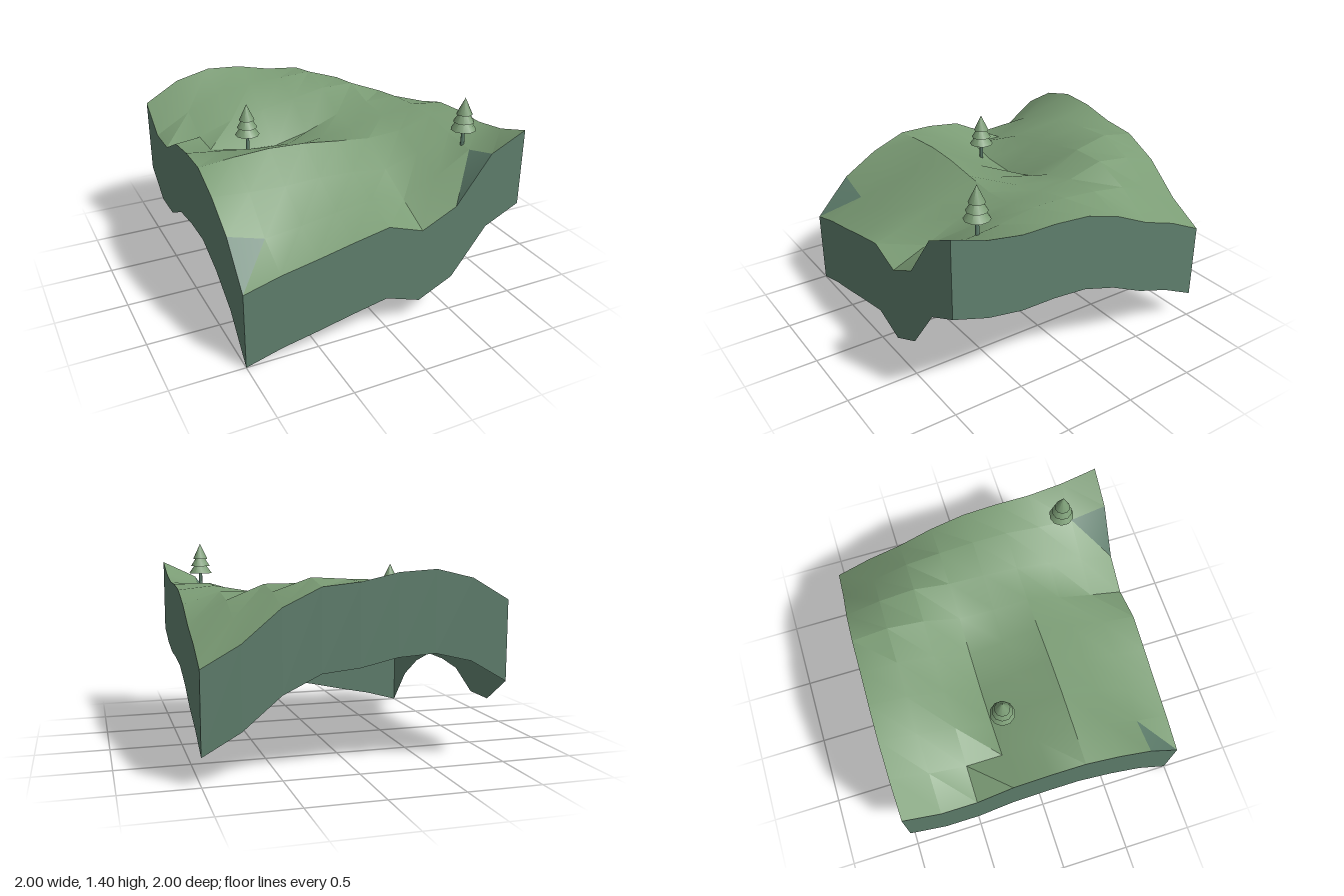
import * as THREE from 'three';
import { toCreasedNormals } from 'three/addons/utils/BufferGeometryUtils.js';

// Ground heights: rows run from back (z = -1) to front (z = 1), columns from x = -1 to x = 1
const HEIGHTS = [
  [1.085, 1.23, 1.29, 1.275, 1.22, 1.195, 1.075, 0.865, 0.725],
  [0.915, 1.06, 1.16, 1.21, 1.22, 1.235, 1.15, 0.99, 0.84],
  [0.915, 0.95, 1.04, 1.08, 1.13, 1.18, 1.18, 1.08, 0.92],
  [1.04, 0.95, 0.90, 0.89, 0.95, 1.05, 1.11, 1.115, 1.035],
  [1.07, 1.04, 1.01, 1.00, 1.00, 1.03, 1.09, 1.135, 1.11],
  [1.07, 1.095, 1.11, 1.10, 1.07, 1.045, 1.06, 1.135, 1.13],
  [0.97, 0.95, 0.94, 0.95, 0.94, 0.91, 0.99, 1.09, 1.13],
  [0.815, 0.74, 0.77, 0.81, 0.84, 0.79, 0.91, 1.06, 1.17],
  [0.54, 0.61, 0.66, 0.715, 0.765, 0.68, 0.80, 1.13, 1.25],
];
const CELLS = 8;
const STEP = 2 / CELLS;
const SKIRT = 0.535;

const point = (col, row, drop = 0) => [-1 + col * STEP, HEIGHTS[row][col] - drop, -1 + row * STEP];

function fromTriangles(coords) {
  const geometry = new THREE.BufferGeometry();
  geometry.setAttribute('position', new THREE.Float32BufferAttribute(coords, 3));
  return geometry;
}

// Rolling ground; the two steepest front facets are bare rock
function makeGround(grass, rock) {
  const green = [];
  const bare = [];
  for (let r = 0; r < CELLS; r++) {
    for (let c = 0; c < CELLS; c++) {
      const a = point(c, r), b = point(c, r + 1), e = point(c + 1, r + 1), d = point(c + 1, r);
      const front = r === CELLS - 1;
      (front && c === 0 ? bare : green).push(...a, ...b, ...d);
      (front && c === 6 ? bare : green).push(...b, ...e, ...d);
    }
  }
  const geometry = toCreasedNormals(fromTriangles([...green, ...bare]), 0.5);
  geometry.clearGroups();
  geometry.addGroup(0, green.length / 3, 0);
  geometry.addGroup(green.length / 3, bare.length / 3, 1);
  const mesh = new THREE.Mesh(geometry, [grass, rock]);
  mesh.name = 'ground';
  return mesh;
}

// One side of the skirt; cell(i) gives the grid corner, in order from left to right seen from outside
function makeWall(name, cell, material) {
  const coords = [];
  for (let i = 0; i < CELLS; i++) {
    const p = cell(i), q = cell(i + 1);
    const topA = point(...p), topB = point(...q);
    const lowA = point(...p, SKIRT), lowB = point(...q, SKIRT);
    coords.push(...topA, ...lowA, ...topB, ...lowA, ...lowB, ...topB);
  }
  const geometry = fromTriangles(coords);
  geometry.computeVertexNormals();
  const mesh = new THREE.Mesh(geometry, material);
  mesh.name = name;
  return mesh;
}

// Conifer: thin trunk with three stacked cones
function makeTree(name, x, coneBase, z, foliage, bark) {
  const tree = new THREE.Group();
  tree.name = name;
  const trunk = new THREE.Mesh(new THREE.CylinderGeometry(0.012, 0.014, 0.17, 8), bark);
  trunk.position.y = -0.055;
  trunk.name = 'trunk';
  tree.add(trunk);
  const tiers = [[0.088, 0, 0.12], [0.072, 0.055, 0.115], [0.055, 0.11, 0.115]];
  tiers.forEach(([radius, base, height], i) => {
    const cone = new THREE.Mesh(new THREE.ConeGeometry(radius, height, 10), foliage);
    cone.position.y = base + height / 2;
    cone.name = `foliageTier${i + 1}`;
    tree.add(cone);
  });
  tree.position.set(x, coneBase, z);
  return tree;
}

export function createModel() {
  const grass = new THREE.MeshStandardMaterial({ color: 0x7b9c75, side: THREE.DoubleSide });
  grass.name = 'grass green';
  const rock = new THREE.MeshStandardMaterial({ color: 0x5f7f6d, side: THREE.DoubleSide });
  rock.name = 'rock teal';

  const model = new THREE.Group();
  model.name = 'hillyTerrain';
  model.add(makeGround(grass, rock));

  // Open-bottomed skirt
  model.add(makeWall('frontWall', (i) => [i, CELLS], rock));
  model.add(makeWall('leftWall', (i) => [CELLS, CELLS - i], rock));
  model.add(makeWall('backWall', (i) => [CELLS - i, 0], rock));
  model.add(makeWall('rightWall', (i) => [0, i], rock));

  model.add(makeTree('hollowTree', -0.5, 1.053, -0.17, grass, rock));
  model.add(makeTree('cornerTree', 0.75, 1.18, 0.665, grass, rock));
  return model;
}
